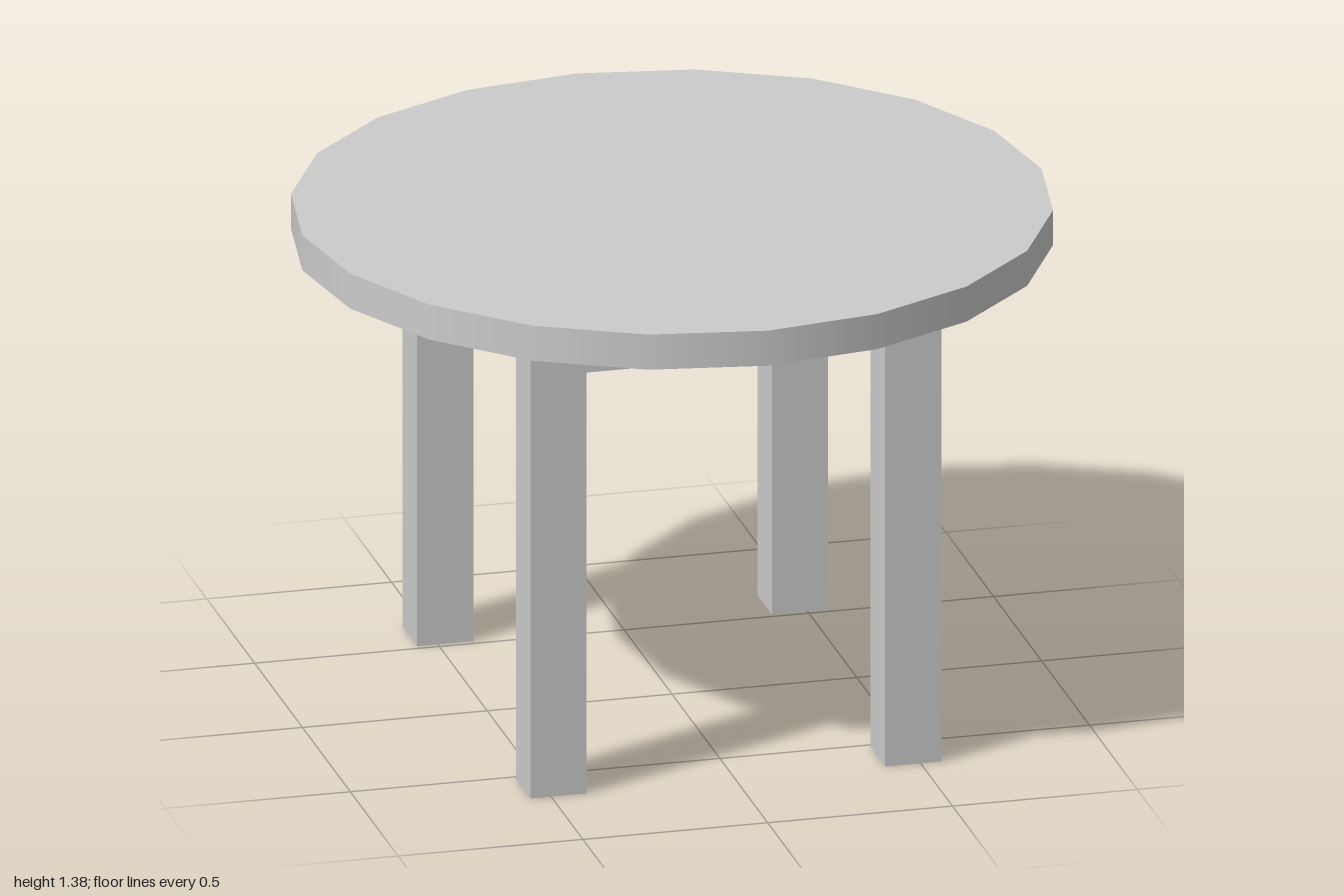
import * as THREE from 'three';

export function createModel() {
  const model = new THREE.Group();
  model.name = 'roundTable';
  const material = new THREE.MeshStandardMaterial({ color: 0xcccccc });

  const add = (name, geometry, x, y, z) => {
    const mesh = new THREE.Mesh(geometry, material);
    mesh.name = name;
    mesh.position.set(x, y, z);
    model.add(mesh);
  };

  const topY = 1.375, underside = 1.277, railBottom = 1.17;
  const legX = 0.48, legZ = 0.592, legSize = 0.152;
  const railThick = 0.028, recess = 0.016;

  // Twenty-sided table top with a smooth rim
  add('tableTop', new THREE.CylinderGeometry(1, 1, topY - underside, 20), 0, (topY + underside) / 2, 0);

  // Four square legs
  for (const [sideX, nameX] of [[1, 'Left'], [-1, 'Right']]) {
    for (const [sideZ, nameZ] of [[1, 'front'], [-1, 'back']]) {
      add(`${nameZ}${nameX}Leg`, new THREE.BoxGeometry(legSize, underside, legSize),
        sideX * legX, underside / 2, sideZ * legZ);
    }
  }

  // Thin apron rails between the legs, set just inside their outer faces
  const railHeight = underside - railBottom;
  const railY = (underside + railBottom) / 2;
  const inset = legSize / 2 - recess - railThick / 2;
  for (const side of [1, -1]) {
    add(side > 0 ? 'frontRail' : 'backRail',
      new THREE.BoxGeometry(2 * legX - legSize, railHeight, railThick), 0, railY, side * (legZ + inset));
    add(side > 0 ? 'leftRail' : 'rightRail',
      new THREE.BoxGeometry(railThick, railHeight, 2 * legZ - legSize), side * (legX + inset), railY, 0);
  }
  return model;
}
